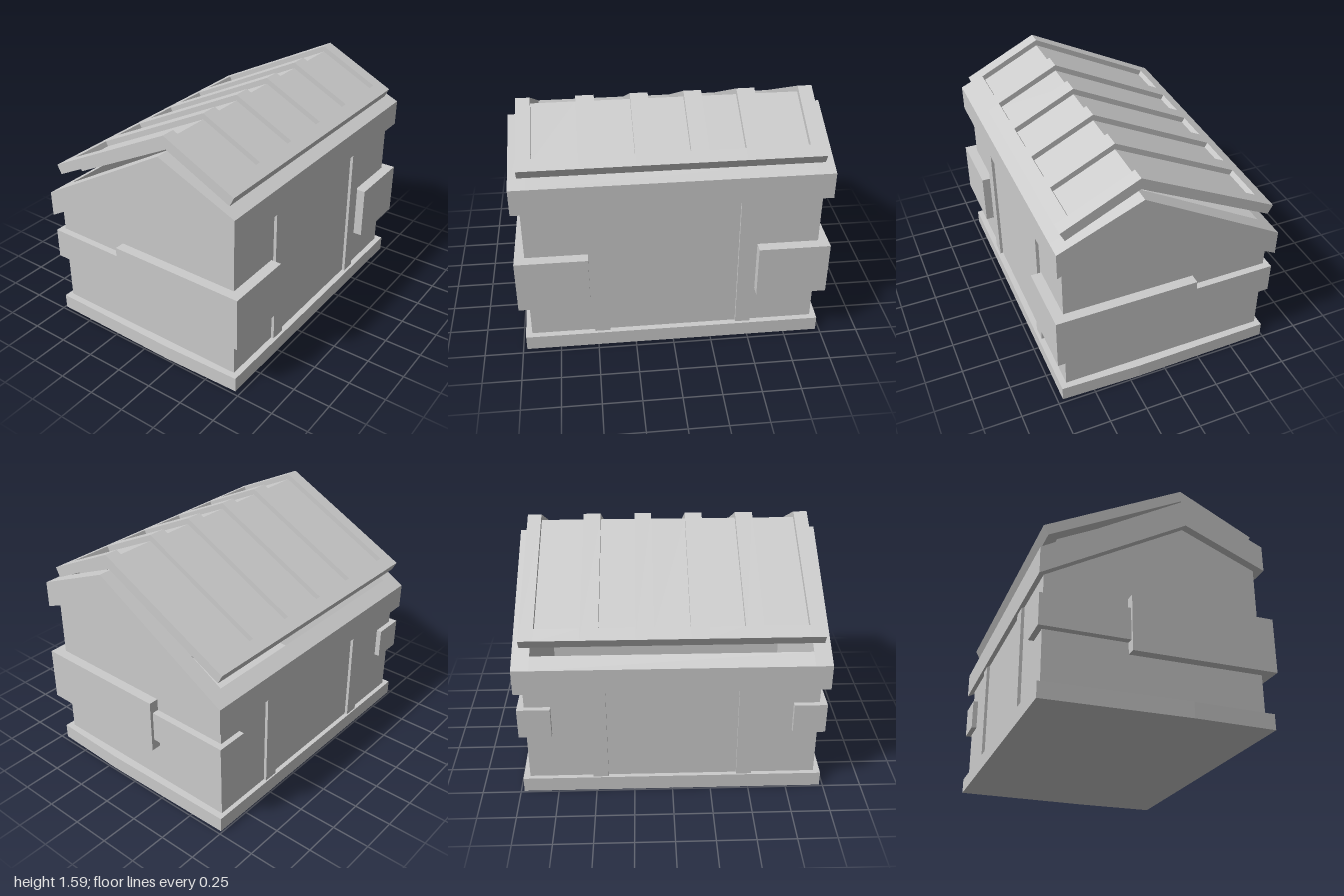
import * as THREE from 'three';

const material = new THREE.MeshStandardMaterial({ color: 0xcccccc, flatShading: true });
const RIDGE = 0.185;

function shapeOf(points) {
  return new THREE.Shape(points.map(([x, y]) => new THREE.Vector2(x, y)));
}

export function createModel() {
  const model = new THREE.Group();
  model.name = 'wasteContainer';

  function add(name, geometry, parent = model) {
    const mesh = new THREE.Mesh(geometry, material);
    mesh.name = name;
    parent.add(mesh);
    return mesh;
  }
  // Outline in x, y pushed from z0 to z1
  function alongZ(name, points, z0, z1, parent) {
    const g = new THREE.ExtrudeGeometry(shapeOf(points), { depth: z1 - z0, bevelEnabled: false });
    return add(name, g.translate(0, 0, z0), parent);
  }
  // Plan outline in x, z raised from y0 to y1
  function alongY(name, points, y0, y1, parent) {
    const g = new THREE.ExtrudeGeometry(shapeOf(points.map(([x, z]) => [x, -z])), { depth: y1 - y0, bevelEnabled: false });
    return add(name, g.rotateX(-Math.PI / 2).translate(0, y0, 0), parent);
  }
  function box(name, x0, x1, y0, y1, z0, z1, parent) {
    const g = new THREE.BoxGeometry(x1 - x0, y1 - y0, z1 - z0);
    return add(name, g.translate((x0 + x1) / 2, (y0 + y1) / 2, (z0 + z1) / 2), parent);
  }

  // Base plinth, slightly bowed at both ends
  alongY('base', [
    [-0.74, 0.978], [RIDGE, 0.99], [0.715, 0.975],
    [0.715, -0.975], [RIDGE, -0.99], [-0.74, -0.978],
  ], 0, 0.1);

  // Open-topped bin: gable ends, side walls and upright ribs
  const body = new THREE.Group();
  body.name = 'body';
  model.add(body);
  const gable = [[-0.71, 0.1], [0.675, 0.1], [0.675, 1.17], [RIDGE, 1.38], [-0.71, 0.86]];
  alongZ('frontWall', gable, 0.885, 0.935, body);
  alongZ('backWall', gable, -0.935, -0.885, body);
  box('rightWall', -0.71, -0.66, 0.1, 0.86, -0.885, 0.885, body);
  box('leftWall', 0.625, 0.675, 0.1, 1.17, -0.885, 0.885, body);
  for (const z of [-0.47, 0.47]) {
    box('rightRib', -0.73, -0.71, 0.1, 0.79, z - 0.05, z + 0.05, body);
    box('leftRib', 0.675, 0.695, 0.1, 1.09, z - 0.05, z + 0.05, body);
  }

  // Rim: gabled bands at the ends joined by long side rails
  const rim = new THREE.Group();
  rim.name = 'rim';
  model.add(rim);
  const band = [[-0.75, 0.93], [-0.75, 0.76], [RIDGE, 1.29], [0.72, 1.07], [0.72, 1.245], [RIDGE, 1.475]];
  alongZ('frontRim', band, 0.88, 0.99, rim);
  alongZ('backRim', band, -0.99, -0.88, rim);
  alongZ('rightRim', [[-0.75, 0.76], [-0.66, 0.811], [-0.66, 0.982], [-0.75, 0.93]], -0.88, 0.88, rim);
  alongZ('leftRim', [[0.72, 1.07], [0.72, 1.245], [0.625, 1.286], [0.625, 1.109]], -0.88, 0.88, rim);

  // Wrap-around corner bumpers, mirrored front to back
  for (const s of [1, -1]) {
    const bumpers = new THREE.Group();
    bumpers.name = s > 0 ? 'frontBumpers' : 'backBumpers';
    model.add(bumpers);
    const corner = (name, x0, x1, zOut, zEnd, wallX, y0, y1) => alongY(name,
      [[x0, zOut], [x1, zOut], [x1, zEnd], [wallX, zEnd], [wallX, 0.92], [x0, 0.92]]
        .map(([x, z]) => [x, z * s]), y0, y1, bumpers);
    corner('largeBumper', -0.19, 0.745, 1.0, 0.54, 0.665, 0.36, 0.72);
    corner('smallBumper', -0.19, -0.745, 0.98, 0.77, -0.7, 0.435, 0.64);
  }

  // Point on the lid slope at x, sunk by t at right angles to the slope
  function lidPoint(x, t) {
    if (x === RIDGE) return [x, 1.585 - t * 1.12];
    const k = x < RIDGE ? 0.514 : -0.49;
    const len = Math.hypot(1, k);
    return [x + (t * k) / len, 1.585 + k * (x - RIDGE) - t / len];
  }
  const slab = (xs, t0, t1) => [
    ...xs.map((x) => lidPoint(x, t0)),
    ...[...xs].reverse().map((x) => lidPoint(x, t1)),
  ];

  // Lid: cross ribs with sunken pans between them
  const lid = new THREE.Group();
  lid.name = 'lid';
  model.add(lid);
  const pans = [[-0.845, -0.565], [-0.45, -0.225], [-0.113, 0.113], [0.225, 0.45], [0.565, 0.845]];
  let start = -0.935;
  for (const [z0, z1] of [...pans, [0.935, 0.935]]) {
    alongZ('lidRib', slab([-0.72, RIDGE, 0.675], 0, 0.067), start, z0, lid);
    if (z1 > z0) {
      alongZ('lidPan', slab([-0.64, RIDGE, 0.595], 0.036, 0.1), z0, z1, lid);
      alongZ('rightLidEdge', slab([-0.72, -0.64], 0, 0.067), z0, z1, lid);
      alongZ('leftLidEdge', slab([0.595, 0.675], 0, 0.067), z0, z1, lid);
    }
    start = z1;
  }
  return model;
}
